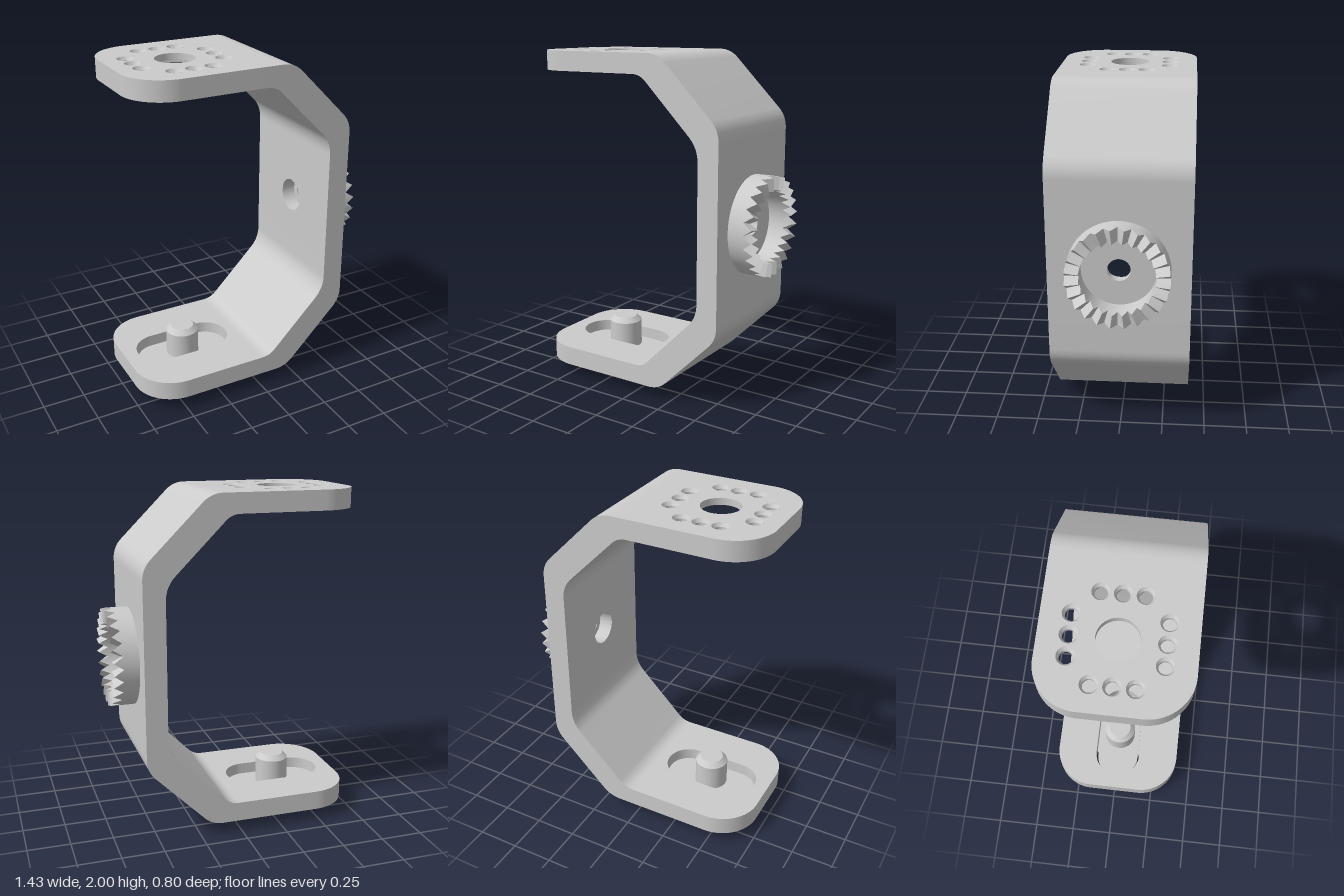
import * as THREE from 'three';
import { toCreasedNormals } from 'three/addons/utils/BufferGeometryUtils.js';

const MID = 1.035;   // mirror height of the bracket
const PIN_X = -0.335; // axis shared by the pin and the top hole
const material = new THREE.MeshStandardMaterial({ color: 0xcccccc, side: THREE.DoubleSide });

function mesh(name, geometry, parent) {
  const m = new THREE.Mesh(toCreasedNormals(geometry, 0.5), material);
  m.name = name;
  parent.add(m);
  return m;
}

const circle = (x, y, r) => new THREE.Path().absarc(x, y, r, 0, Math.PI * 2, true);

function stadium(x, halfLength, r, Type = THREE.Path) {
  const p = new Type();
  const d = halfLength - r;
  p.absarc(x + d, 0, r, -Math.PI / 2, Math.PI / 2, false);
  p.absarc(x - d, 0, r, Math.PI / 2, Math.PI * 1.5, false);
  p.closePath();
  return p;
}

const extrude = (shape, depth) =>
  new THREE.ExtrudeGeometry(shape, { depth, bevelEnabled: false, curveSegments: 24 });

// Horizontal slab from y0 to y1
const slab = (shape, y0, y1) => extrude(shape, y1 - y0).rotateX(-Math.PI / 2).translate(0, y0, 0);

// Arm outline with two rounded free corners
function armShape(holes) {
  const s = new THREE.Shape();
  const r = 0.24;
  s.moveTo(0.02, -0.4);
  s.lineTo(0.02, 0.4);
  s.lineTo(-0.72 + r, 0.4);
  s.absarc(-0.72 + r, 0.4 - r, r, Math.PI / 2, Math.PI, false);
  s.absarc(-0.72 + r, -0.4 + r, r, Math.PI, Math.PI * 1.5, false);
  s.closePath();
  s.holes.push(...holes);
  return s;
}

// Bent section joining an arm to the back wall; third value is the corner fillet
function elbowGeometry() {
  const pts = [[0.02, 1.885, 0], [0.07, 1.885, 0.05], [0.443, 1.51, 0.08], [0.443, 1.3, 0],
    [0.57, 1.3, 0], [0.57, 1.615, 0.07], [0.185, 2, 0.07], [0.02, 2, 0]];
  const s = new THREE.Shape();
  pts.forEach(([x, y, d], i) => {
    const c = new THREE.Vector2(x, y);
    const toward = (q) => new THREE.Vector2(q[0], q[1]).sub(c).setLength(d).add(c);
    const a = toward(pts[(i + 7) % 8]);
    const b = toward(pts[(i + 1) % 8]);
    if (i === 0) s.moveTo(x, y);
    else s.lineTo(a.x, a.y);
    if (d) s.quadraticCurveTo(x, y, b.x, b.y);
  });
  return extrude(s, 0.8).translate(0, 0, -0.4);
}

// Part of the back wall with a round hole, from x0 to x1
function wallGeometry(x0, x1, holeRadius) {
  const s = new THREE.Shape();
  s.moveTo(-0.4, 0.77);
  s.lineTo(0.4, 0.77);
  s.lineTo(0.4, 1.3);
  s.lineTo(-0.4, 1.3);
  s.closePath();
  s.holes.push(circle(0, MID, holeRadius));
  return extrude(s, x1 - x0).rotateY(Math.PI / 2).translate(x0, 0, 0);
}

// Ring whose end face is cut into radial teeth
function toothedRingGeometry(teeth, outer, inner, base, valley, peak) {
  const pos = [];
  const n = teeth * 2;
  const point = (i, r, x) => {
    const a = (i / n) * Math.PI * 2;
    return [x, MID + r * Math.cos(a), r * Math.sin(a)];
  };
  const quad = (a, b, c, d) => pos.push(...a, ...b, ...c, ...a, ...c, ...d);
  for (let i = 0; i < n; i++) {
    const j = i + 1;
    const xi = i % 2 ? peak : valley;
    const xj = j % 2 ? peak : valley;
    quad(point(i, inner, xi), point(i, outer, xi), point(j, outer, xj), point(j, inner, xj));
    quad(point(i, outer, base), point(j, outer, base), point(j, outer, xj), point(i, outer, xi));
    quad(point(j, inner, base), point(i, inner, base), point(i, inner, xi), point(j, inner, xj));
  }
  const g = new THREE.BufferGeometry();
  g.setAttribute('position', new THREE.Float32BufferAttribute(pos, 3));
  g.computeVertexNormals();
  return g;
}

const lathe = (pts, segments = 48) =>
  new THREE.LatheGeometry(pts.map(([r, y]) => new THREE.Vector2(r, y)), segments);

export function createModel() {
  const model = new THREE.Group();
  model.name = 'bracket';

  // Top arm: thin drilled floor above a round recess
  const topArm = new THREE.Group();
  topArm.name = 'topArm';
  model.add(topArm);
  const spots = [];
  for (const s of [-1, 1]) {
    for (const t of [-0.113, 0, 0.113]) {
      spots.push([PIN_X + t, s * 0.243], [PIN_X + s * 0.243, t]);
    }
  }
  const drilled = spots.map(([x, z]) => circle(x, z, 0.048));
  mesh('drilledFace', slab(armShape([circle(PIN_X, 0, 0.113), ...drilled]), 1.96, 2), topArm);
  mesh('recessRim', slab(armShape([circle(PIN_X, 0, 0.35)]), 1.885, 1.96), topArm);
  for (const [x, z] of spots) {
    const sink = mesh('countersink', lathe([[0.048, 1.96], [0.035, 1.96], [0.035, 1.98], [0.048, 2]], 24), topArm);
    sink.position.set(x, 0, z);
  }

  // Bottom arm with a lengthwise slot
  mesh('bottomArm', slab(armShape([stadium(PIN_X, 0.3, 0.145)]), 0.07, 0.185), model);

  // Bends and back wall, with a counterbored hole
  mesh('upperBend', elbowGeometry(), model);
  const lower = mesh('lowerBend', elbowGeometry(), model);
  lower.rotation.x = Math.PI;
  lower.position.y = 2 * MID;
  mesh('wallInner', wallGeometry(0.443, 0.53, 0.1), model);
  mesh('wallOuter', wallGeometry(0.53, 0.57, 0.065), model);

  // Toothed coupling ring on the wall
  mesh('toothedRing', toothedRingGeometry(24, 0.288, 0.21, 0.57, 0.66, 0.715), model);

  // Sliding insert, locating pin and knob
  mesh('slotInsert', slab(stadium(PIN_X, 0.29, 0.135, THREE.Shape), 0.06, 0.12), model);
  const pin = mesh('pin', lathe([[0.1, 0.1], [0.1, 0.28], [0.07, 0.31], [0, 0.31]]), model);
  const knob = mesh('knob', lathe([[0, 0.03], [0.028, 0.03], [0.028, 0], [0.155, 0], [0.172, 0.005],
    [0.185, 0.018], [0.19, 0.035], [0.19, 0.055], [0.185, 0.062], [0, 0.062]]), model);
  pin.position.x = knob.position.x = PIN_X;

  return model;
}
